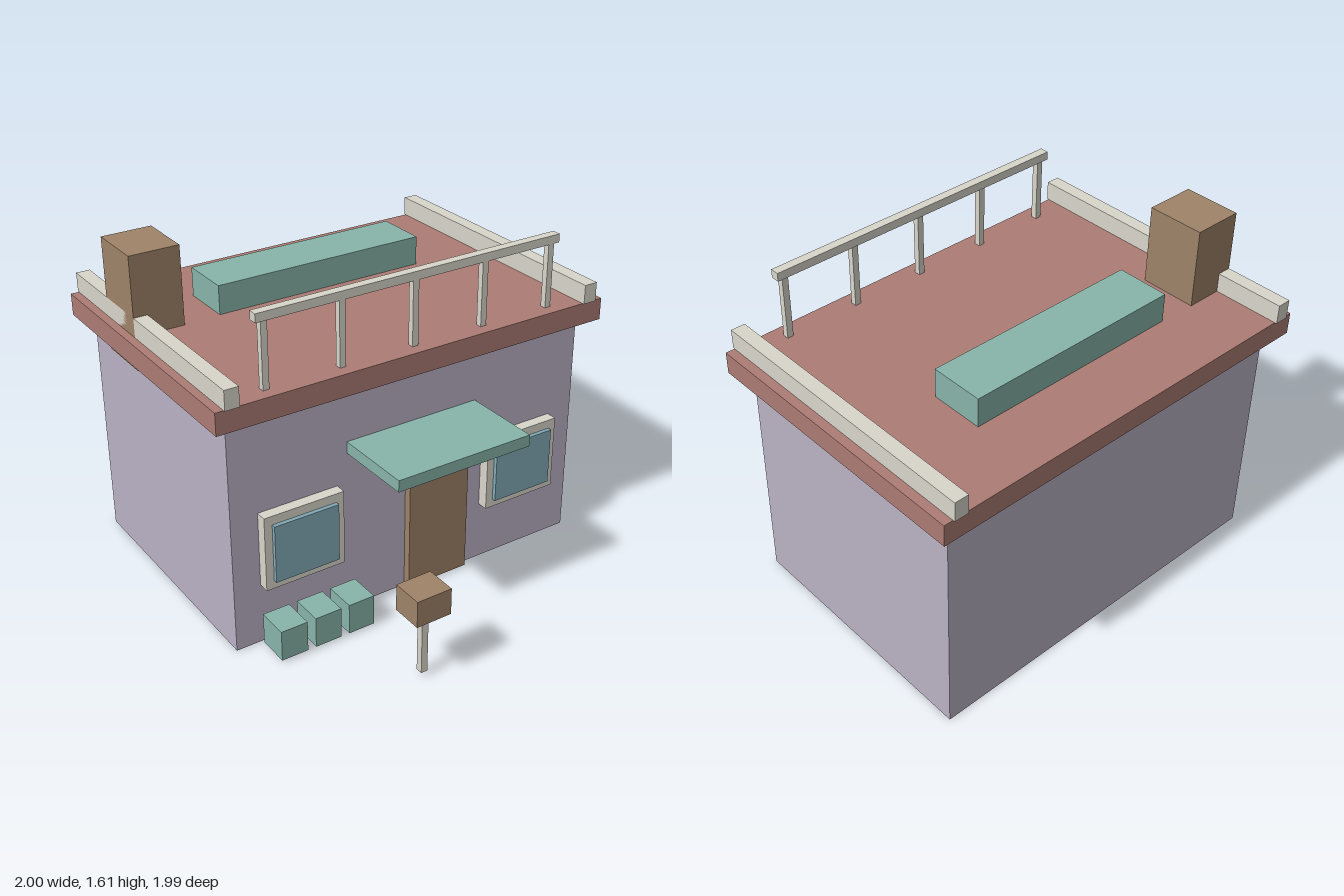
import * as THREE from 'three';

const paint = (color) => new THREE.MeshStandardMaterial({ color });

export function createModel() {
  const house = new THREE.Group();
  house.name = 'house';
  const wall = paint(0xbab2c4), roofRed = paint(0xac7c74), teal = paint(0x88b4a9);
  const wood = paint(0x9e8368), cream = paint(0xd9d6cb), glass = paint(0x82aab8);

  // Box given by its extents along each axis
  function block(name, material, [x0, x1], [y0, y1], [z0, z1], parent = house) {
    const mesh = new THREE.Mesh(new THREE.BoxGeometry(x1 - x0, y1 - y0, z1 - z0), material);
    mesh.position.set((x0 + x1) / 2, (y0 + y1) / 2, (z0 + z1) / 2);
    mesh.name = name;
    parent.add(mesh);
    return mesh;
  }
  function group(name) {
    const g = new THREE.Group();
    g.name = name;
    house.add(g);
    return g;
  }

  // Body and roof
  block('walls', wall, [-0.923, 0.92], [0, 1.125], [-0.91, 0.34]);
  block('roofSlab', roofRed, [-1, 1], [1.125, 1.23], [-0.985, 0.413]);
  block('rightParapet', cream, [-0.96, -0.893], [1.23, 1.322], [-0.995, 0.422]);
  block('leftParapet', cream, [0.888, 0.956], [1.23, 1.322], [-0.995, 0.422]);
  block('chimney', wood, [-0.96, -0.72], [1.07, 1.607], [-0.66, -0.385]);
  block('roofPlanter', teal, [-0.54, 0.535], [1.22, 1.37], [-0.653, -0.396]);

  // Roof railing
  const railing = group('railing');
  block('handrail', cream, [-0.775, 0.77], [1.535, 1.575], [0.315, 0.358], railing);
  for (let i = 0; i < 5; i++) {
    const x = -0.735 + i * 0.366;
    block('railPost', cream, [x - 0.015, x + 0.015], [1.23, 1.54], [0.324, 0.354], railing);
  }

  // Door and awning
  block('door', wood, [-0.035, 0.29], [0.008, 0.653], [0.33, 0.378]);
  block('awning', teal, [-0.345, 0.343], [0.807, 0.863], [0.33, 0.728]);

  // Windows, pane standing slightly proud of the frame
  for (const [name, x] of [['rightWindow', -0.594], ['leftWindow', 0.589]]) {
    const win = group(name);
    block('windowFrame', cream, [x - 0.198, x + 0.198], [0.295, 0.66], [0.34, 0.393], win);
    block('windowPane', glass, [x - 0.16, x + 0.16], [0.335, 0.617], [0.36, 0.413], win);
  }

  // Ground planters
  for (let i = 0; i < 3; i++) {
    const x = -0.8 + i * 0.172;
    block('planter', teal, [x, x + 0.131], [0.01, 0.16], [0.365, 0.52]);
  }

  // Mailbox
  const mailbox = group('mailbox');
  block('mailboxBody', wood, [-0.434, -0.262], [0.328, 0.455], [0.845, 0.995], mailbox);
  block('mailboxPost', cream, [-0.364, -0.332], [0.025, 0.33], [0.902, 0.935], mailbox);

  return house;
}
